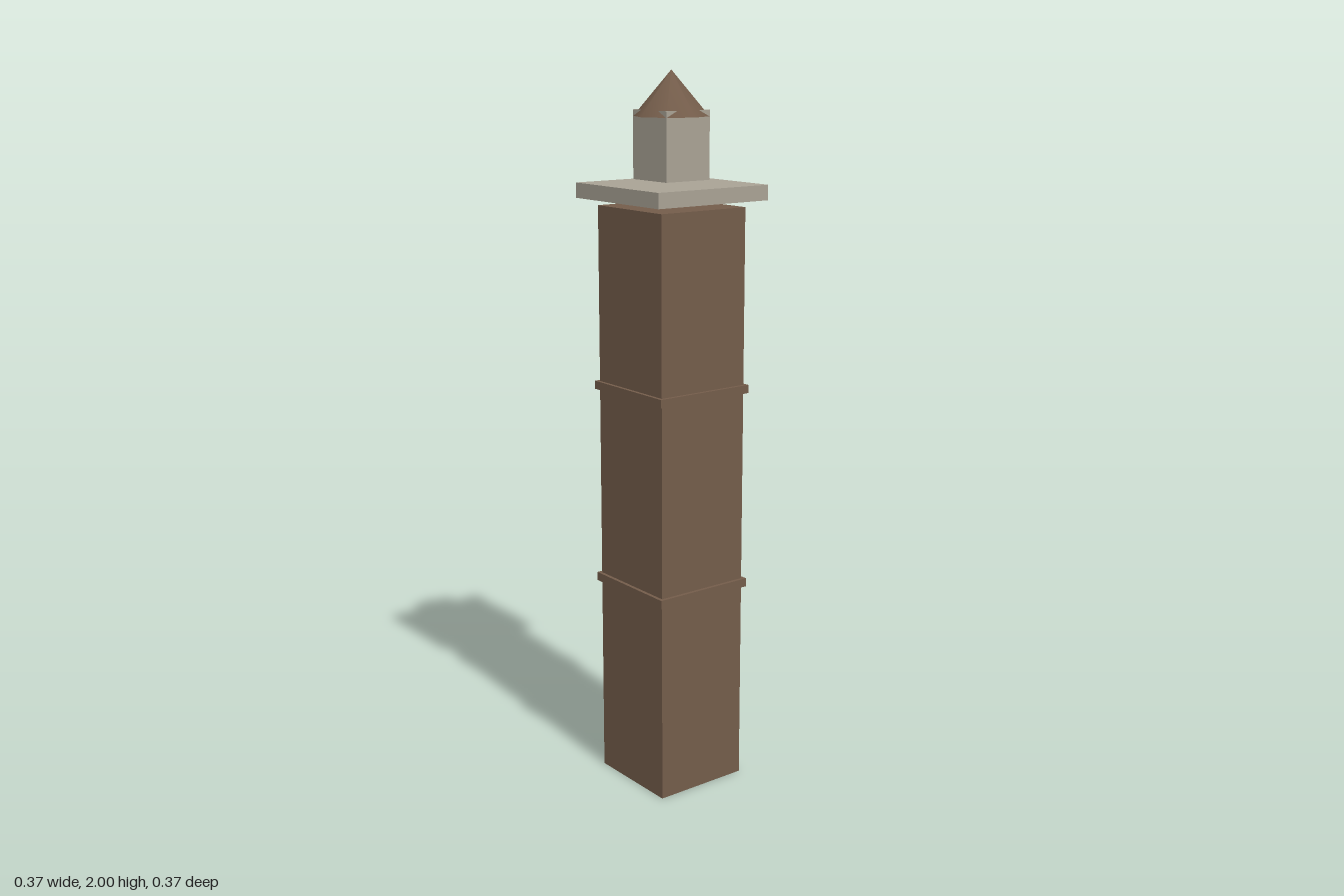
import * as THREE from 'three';

export function createModel() {
  const group = new THREE.Group();
  const brick = new THREE.MeshStandardMaterial({ color: 0x735c4a });
  brick.name = 'brown brick';
  const stone = new THREE.MeshStandardMaterial({ color: 0xa8a294 });
  stone.name = 'grey stone';

  // Square block given by half width and vertical extent
  function block(name, half, y0, y1, material) {
    const mesh = new THREE.Mesh(new THREE.BoxGeometry(half * 2, y1 - y0, half * 2), material);
    mesh.position.y = (y0 + y1) / 2;
    mesh.name = name;
    group.add(mesh);
  }

  // Tower shaft with two projecting bands
  block('shaft', 0.141, 0, 1.643, brick);
  block('lowerBand', 0.151, 0.573, 0.597, brick);
  block('upperBand', 0.151, 1.135, 1.158, brick);

  // Floating gallery slab and lantern room
  block('gallery', 0.183, 1.662, 1.703, stone);
  block('lantern', 0.0725, 1.714, 1.897, stone);

  // Eight-sided roof, pierced by the lantern corners
  const roof = new THREE.Mesh(new THREE.ConeGeometry(0.102, 0.12, 8), brick);
  roof.position.y = 1.94;
  roof.name = 'roof';
  group.add(roof);

  return group;
}
